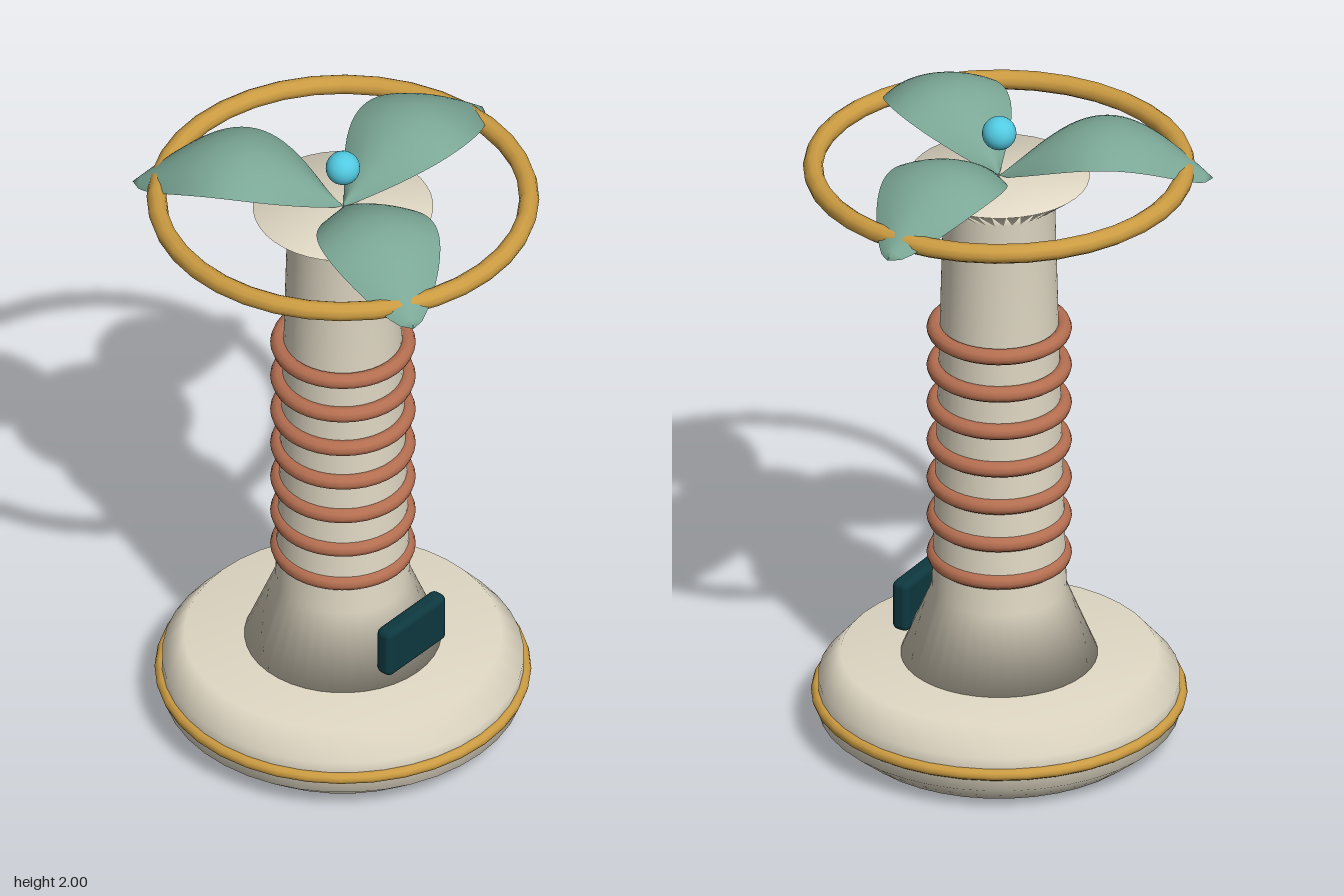
import * as THREE from 'three';
import { RoundedBoxGeometry } from 'three/addons/geometries/RoundedBoxGeometry.js';
import { ParametricGeometry } from 'three/addons/geometries/ParametricGeometry.js';

const mat = (name, color, side = THREE.FrontSide) => {
  const m = new THREE.MeshStandardMaterial({ color, side });
  m.name = name;
  return m;
};

export function createModel() {
  const cream = mat('cream', 0xe0d8c4);
  const gold = mat('gold', 0xcc9c42);
  const copper = mat('copper', 0xb56f51);
  const leafGreen = mat('leafGreen', 0x7ba796, THREE.DoubleSide);
  const cyan = mat('cyan', 0x52cae2);
  const darkTeal = mat('darkTeal', 0x0d383f);

  const model = new THREE.Group();
  model.name = 'tower';
  // everything shares one axis, slightly left of the origin
  const body = new THREE.Group();
  body.name = 'body';
  body.position.x = -0.027;
  model.add(body);

  const add = (name, geometry, material, y = 0, z = 0) => {
    const mesh = new THREE.Mesh(geometry, material);
    mesh.name = name;
    mesh.position.set(0, y, z);
    body.add(mesh);
    return mesh;
  };
  const lathe = (name, pts) =>
    add(name, new THREE.LatheGeometry(pts.map(([r, y]) => new THREE.Vector2(r, y)), 40), cream);
  const hoop = (name, radius, tube, y, material) =>
    add(name, new THREE.TorusGeometry(radius, tube, 10, 36).rotateX(Math.PI / 2), material, y);

  // foot: softly shaded rounded drum
  lathe('foot', [[0, 0], [0.44, 0], [0.525, 0.07], [0.525, 0.175], [0.46, 0.25], [0, 0.25]]);
  hoop('footBand', 0.528, 0.018, 0.125, gold);

  // column with flared skirt below and closed flared head on top
  lathe('column', [[0, 0.25], [0.286, 0.25], [0.196, 0.47], [0.162, 1.73], [0.262, 1.81], [0, 1.81]]);

  // copper coils
  for (let i = 0; i < 7; i++) hoop('coil' + (i + 1), 0.187, 0.024, 0.578 + i * 0.1227, copper);

  // control panel on the front of the skirt
  add('panel', new RoundedBoxGeometry(0.26, 0.16, 0.056, 3, 0.02), darkTeal, 0.38, 0.262);

  // top ring and floating orb
  hoop('topRing', 0.54, 0.029, 1.84, gold);
  add('orb', new THREE.SphereGeometry(0.05, 24, 16), cyan, 1.95);

  // three arched leaves, fuller towards the tip, with drooping edges
  const leafGeometry = new ParametricGeometry((u, v, p) => {
    const s = Math.max(0, Math.sin(Math.PI * u));
    const across = v * 2 - 1;
    const halfWidth = 0.175 * Math.pow(s, 1.1 - 0.35 * u);
    const droop = 0.05 * across * across * Math.sqrt(s);
    p.set(0.62 * u, 1.812 + 0.16 * s - droop, -halfWidth * across);
  }, 28, 12);
  for (let i = 0; i < 3; i++) {
    add('leaf' + (i + 1), leafGeometry, leafGreen).rotation.y = (i * Math.PI * 2) / 3;
  }

  return model;
}
